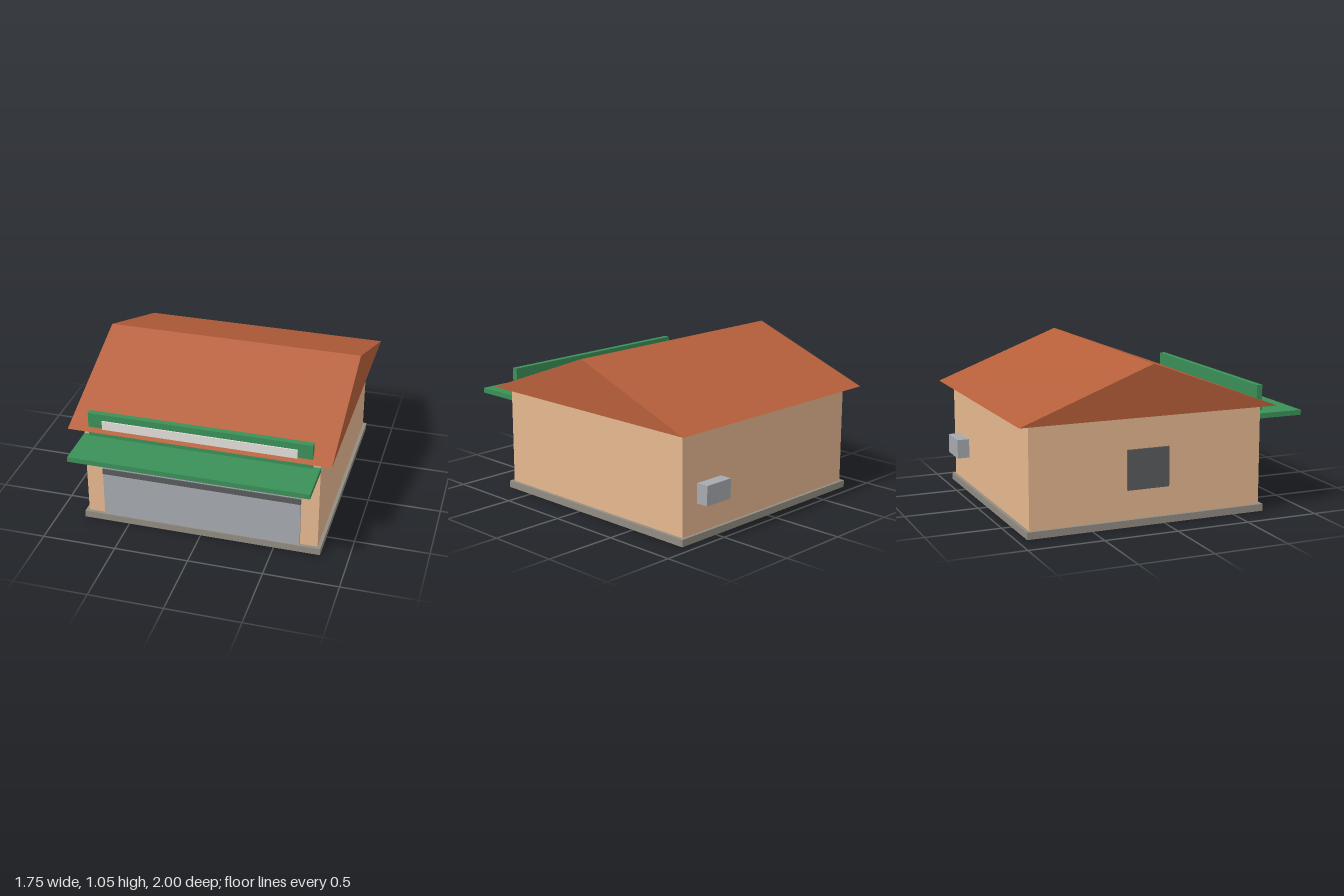
import * as THREE from 'three';

const material = (name, color) => {
  const m = new THREE.MeshStandardMaterial({ color });
  m.name = name;
  return m;
};

export function createModel() {
  const wall = material('tan wall', 0xe6b890);
  const roofTile = material('terracotta roof', 0xb65f3a);
  const green = material('green trim', 0x3a9058);
  const metal = material('grey metal', 0xa6aaae);
  const dark = material('dark grey', 0x5a5b5d);
  const concrete = material('concrete', 0x928c82);
  const pale = material('pale panel', 0xe4e0db);
  const magenta = material('magenta underside', 0xe000e4);

  const group = new THREE.Group();
  group.name = 'shop';

  // Box given by its [min, max] range on each axis
  const box = (name, mat, [x0, x1], [y0, y1], [z0, z1]) => {
    const mesh = new THREE.Mesh(new THREE.BoxGeometry(x1 - x0, y1 - y0, z1 - z0), mat);
    mesh.position.set((x0 + x1) / 2, (y0 + y1) / 2, (z0 + z1) / 2);
    mesh.name = name;
    group.add(mesh);
  };

  // Building body on its slab, with a coloured plate underneath
  box('underside', magenta, [-0.8, 0.8], [0, 0.003], [-0.925, 0.7]);
  box('foundation', concrete, [-0.813, 0.813], [0.003, 0.05], [-0.938, 0.714]);
  box('walls', wall, [-0.79, 0.79], [0.05, 0.722], [-0.916, 0.69]);

  // Front shutter with its dark band
  box('shutter', metal, [-0.672, 0.672], [0.05, 0.588], [0.69, 0.705]);
  box('shutterBand', dark, [-0.672, 0.672], [0.37, 0.41], [0.705, 0.711]);

  // Canopy and sign board
  box('canopy', green, [-0.79, 0.79], [0.625, 0.659], [0.69, 1]);
  box('signBoard', green, [-0.743, 0.743], [0.671, 0.839], [0.69, 0.73]);
  box('signPanel', pale, [-0.647, 0.647], [0.729, 0.795], [0.73, 0.738]);

  // Side window and rear cooling unit
  box('sideWindow', dark, [-0.804, -0.79], [0.241, 0.504], [-0.258, 0.03]);
  box('coolingUnit', metal, [0.445, 0.66], [0.242, 0.373], [-1, -0.916]);

  // Gabled roof: triangle in (-z, y) extruded along x
  const gable = new THREE.Shape([
    new THREE.Vector2(-0.769, 0.722),
    new THREE.Vector2(1, 0.722),
    new THREE.Vector2(0.115, 1.055),
  ]);
  const geometry = new THREE.ExtrudeGeometry(gable, { depth: 1.746, bevelEnabled: false });
  geometry.translate(0, 0, -0.873);
  geometry.rotateY(Math.PI / 2);
  const roof = new THREE.Mesh(geometry, roofTile);
  roof.name = 'roof';
  group.add(roof);

  return group;
}
